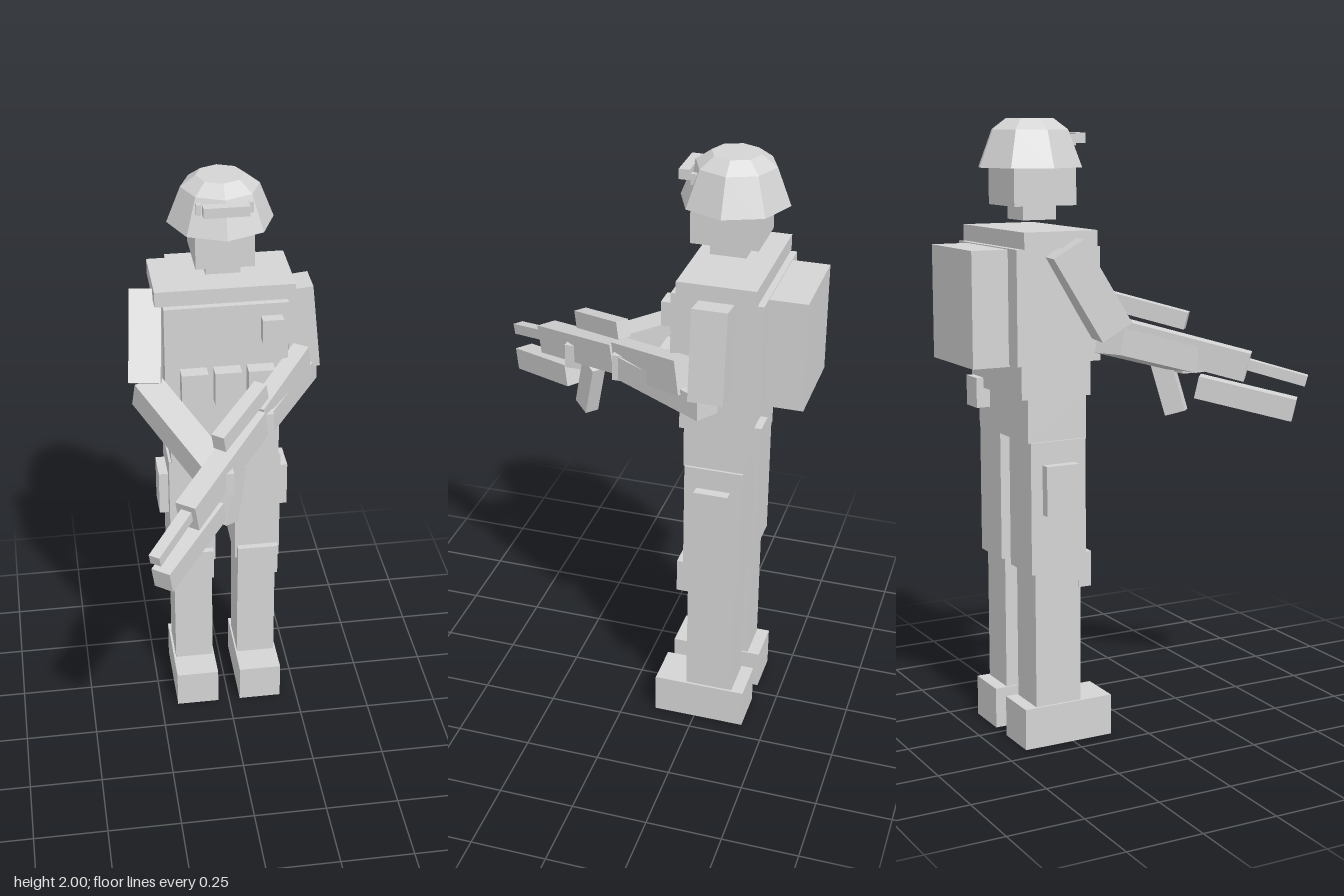
import * as THREE from 'three';

export function createModel() {
  const model = new THREE.Group();
  model.name = 'soldierFigure';
  const grey = new THREE.MeshStandardMaterial({ color: 0xd4d4d4 });
  grey.name = 'plainLightGrey';

  const add = (name, geometry, parent = model) => {
    const mesh = new THREE.Mesh(geometry, grey);
    mesh.name = name;
    parent.add(mesh);
    return mesh;
  };
  // Upright box given by its limits on each axis
  const box = (name, [x0, x1], [y0, y1], [z0, z1], parent) => {
    const mesh = add(name, new THREE.BoxGeometry(x1 - x0, y1 - y0, z1 - z0), parent);
    mesh.position.set((x0 + x1) / 2, (y0 + y1) / 2, (z0 + z1) / 2);
    return mesh;
  };
  // Box running between two points
  const beam = (name, from, to, width, height, parent) => {
    const a = new THREE.Vector3(...from), b = new THREE.Vector3(...to);
    const mesh = add(name, new THREE.BoxGeometry(width, height, a.distanceTo(b)), parent);
    mesh.position.copy(a).add(b).multiplyScalar(0.5);
    mesh.lookAt(b);
    return mesh;
  };

  // Helmet with goggles
  const profile = [[0, 1.848], [0.173, 1.848], [0.127, 1.965], [0.078, 2], [0, 2]];
  const shell = new THREE.LatheGeometry(profile.map(([r, y]) => new THREE.Vector2(r, y)), 8).toNonIndexed();
  shell.computeVertexNormals();
  add('helmet', shell).position.z = -0.297;
  box('goggles', [-0.073, 0.073], [1.922, 1.955], [-0.172, -0.138]);
  for (const s of [-1, 1]) {
    box('goggleClip', [s * 0.083 - 0.008, s * 0.083 + 0.008], [1.915, 1.95], [-0.215, -0.18]);
  }

  // Head and neck
  box('head', [-0.095, 0.095], [1.73, 1.88], [-0.397, -0.182]);
  box('neck', [-0.057, 0.057], [1.685, 1.73], [-0.35, -0.235]);

  // Torso, belt and hips
  box('collar', [-0.229, 0.229], [1.608, 1.66], [-0.428, -0.178]);
  box('torso', [-0.203, 0.203], [1.25, 1.608], [-0.41, -0.155]);
  box('backPlate', [-0.218, 0.218], [1.25, 1.608], [-0.449, -0.405]);
  box('belt', [-0.19, 0.19], [1.14, 1.25], [-0.423, -0.183]);
  box('hips', [-0.185, 0.185], [1, 1.14], [-0.4, -0.197]);

  // Backpack and pouches
  box('backpack', [-0.155, 0.155], [1.243, 1.605], [-0.57, -0.445]);
  box('beltPouch', [0.1, 0.18], [1.075, 1.173], [-0.447, -0.4]);
  box('chestPouch', [0.113, 0.182], [1.485, 1.565], [-0.156, -0.118]);
  for (const x of [-0.11, 0, 0.11]) {
    box('ammoPouch', [x - 0.044, x + 0.044], [1.27, 1.39], [-0.156, -0.105]);
  }

  // Legs, mirrored
  for (const s of [-1, 1]) {
    const leg = new THREE.Group();
    leg.name = s > 0 ? 'leftLeg' : 'rightLeg';
    model.add(leg);
    const part = (name, x0, x1, y, z) =>
      box(name, s > 0 ? [x0, x1] : [-x1, -x0], y, z, leg);
    part('thigh', 0.035, 0.193, [0.578, 1.003], [-0.395, -0.203]);
    part('thighPocket', 0.19, 0.225, [0.77, 0.93], [-0.355, -0.243]);
    part('kneePad', 0.043, 0.185, [0.515, 0.63], [-0.225, -0.18]);
    part('shin', 0.046, 0.182, [0.13, 0.585], [-0.378, -0.218]);
    part('boot', 0.04, 0.19, [0, 0.135], [-0.42, -0.11]);
  }

  // Arms holding the rifle
  beam('leftUpperArm', [0.25, 1.607, -0.303], [0.28, 1.31, -0.303], 0.112, 0.1);
  beam('leftForearm', [0.289, 1.29, -0.3], [0.085, 1.28, 0.02], 0.085, 0.08);
  box('leftHand', [0.038, 0.122], [1.237, 1.325], [-0.028, 0.062]);
  beam('rightUpperArm', [-0.243, 1.61, -0.302], [-0.268, 1.35, -0.148], 0.105, 0.112);
  beam('rightForearm', [-0.265, 1.32, -0.155], [-0.08, 1.21, 0.235], 0.1, 0.085);
  box('rightHand', [-0.122, -0.038], [1.17, 1.253], [0.195, 0.28]);

  // Rifle, built along its sloping axis
  const rifle = new THREE.Group();
  rifle.name = 'rifle';
  model.add(rifle);
  beam('receiver', [0.07, 1.297, 0.05], [-0.2, 1.19, 0.4], 0.07, 0.096, rifle);
  beam('stock', [0.262, 1.365, -0.215], [0.07, 1.297, 0.05], 0.057, 0.112, rifle);
  beam('barrel', [-0.2, 1.198, 0.4], [-0.317, 1.147, 0.555], 0.037, 0.036, rifle);
  beam('underBarrelTube', [-0.095, 1.12, 0.27], [-0.294, 1.05, 0.525], 0.065, 0.075, rifle);
  beam('scope', [0.085, 1.403, 0.035], [-0.08, 1.34, 0.235], 0.045, 0.058, rifle);
  beam('magazine', [-0.02, 1.21, 0.172], [-0.055, 1.03, 0.212], 0.048, 0.07, rifle);

  return model;
}
